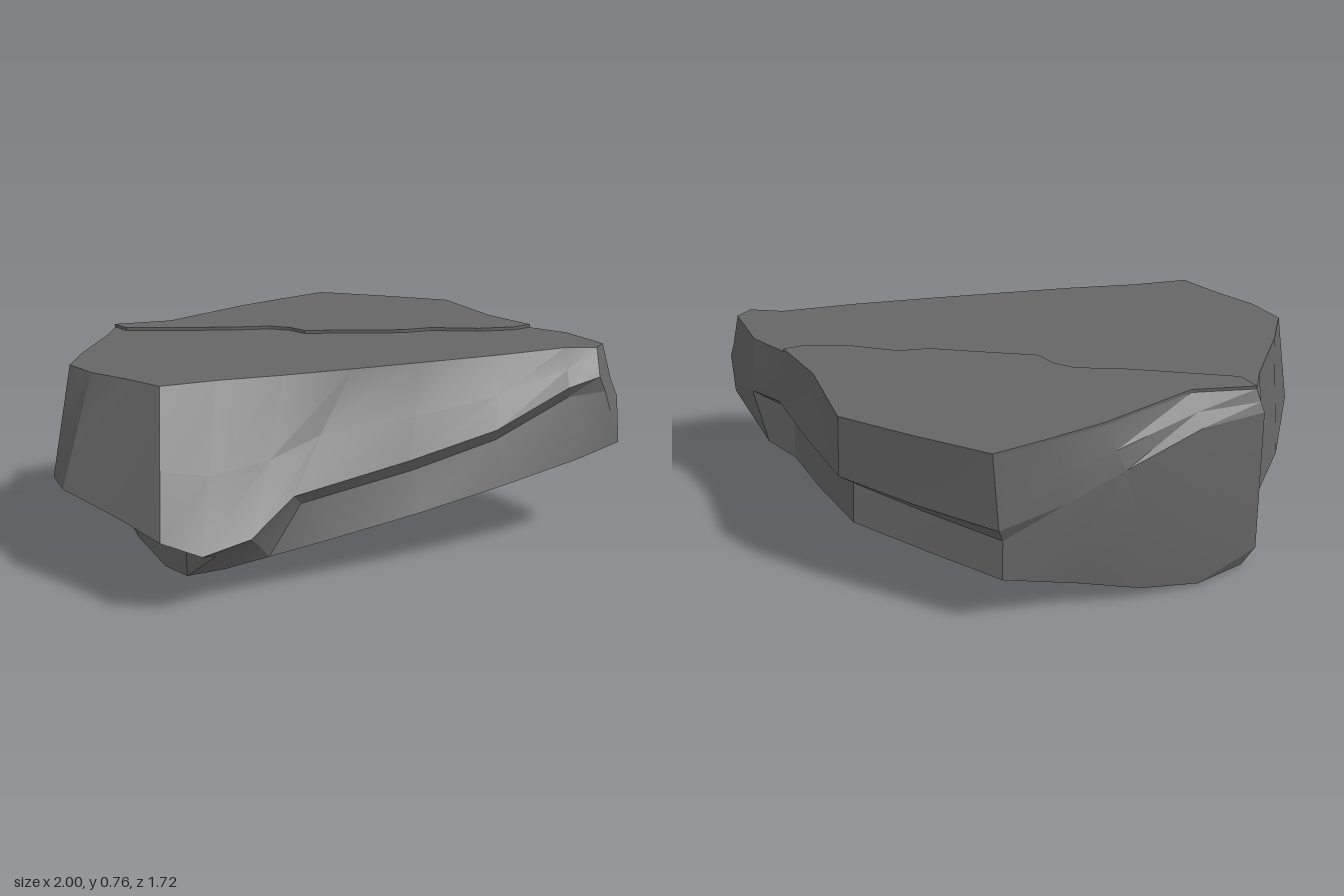
import * as THREE from 'three';
import { toCreasedNormals } from 'three/addons/utils/BufferGeometryUtils.js';

const CX = -0.1, CZ = -0.05, TOP = 0.755;

// Underside height: tilted along x, rising behind a diagonal crease
const underside = (x, z) =>
  0.16 + 0.2 * x + 0.04 * x * x + 0.42 * Math.max(0, -0.27 - 0.23 * (x + 0.82) - z);

// Each outline has 24 stations, starting at the front corner and going round by +x
const rim = [ // x, z
  [-.40, .60], [-.25, .47], [-.06, .33], [.14, .17], [.35, .00], [.58, -.19],
  [.78, -.37], [.89, -.42], [.90, -.48], [.74, -.58], [.59, -.60], [.40, -.68],
  [.17, -.85], [-.10, -.82], [-.37, -.78], [-.48, -.62], [-.59, -.45], [-.75, -.13],
  [-.93, .00], [-.90, .10], [-.86, .35], [-.82, .50], [-.70, .55], [-.55, .57],
];
const lip = [ // x, y, z of the overhanging edge
  [-.28, .30, .86], [-.15, .25, .81], [-.03, .28, .68], [.05, .38, .50], [.36, .44, .18], [.62, .52, -.03],
  [.83, .64, -.25], [.92, .66, -.36], [.94, .62, -.48], [.75, .60, -.60], [.62, .55, -.62], [.42, .53, -.73],
  [.18, .53, -.86], [-.10, .50, -.83], [-.39, .47, -.78], [-.54, .52, -.60], [-.67, .60, -.44], [-.83, .68, -.20],
  [-.97, .68, -.01], [-.93, .22, .15], [-.92, .28, .35], [-.85, .36, .61], [-.74, .37, .72], [-.48, .33, .79],
];
const neck = [ // x, y, z of the recess below the overhang
  [-.26, .21, .72], [-.15, .21, .71], [-.04, .22, .60], [.05, .33, .44], [.36, .39, .14], [.61, .47, -.07],
  [.82, .59, -.29], [.94, .60, -.38], [.97, .56, -.47], [.76, .54, -.60], [.60, .49, -.57], [.40, .48, -.68],
  [.16, .48, -.81], [-.10, .44, -.78], [-.38, .40, -.74], [-.57, .35, -.56], [-.72, .33, -.39], [-.88, .30, -.19],
  [-1.0, .12, -.02], [-.91, .12, .09], [-.80, .11, .22], [-.68, .13, .36], [-.55, .15, .49], [-.40, .18, .61],
];
const base = [ // x, z
  [-.27, .70], [-.15, .64], [-.03, .54], [.12, .42], [.40, .19], [.66, -.04],
  [.88, -.25], [1.0, -.40], [.98, -.46], [.72, -.59], [.60, -.59], [.40, -.71],
  [.15, -.84], [-.12, -.80], [-.39, -.76], [-.56, -.54], [-.72, -.37], [-.86, -.19],
  [-.95, .00], [-.88, .10], [-.78, .22], [-.66, .36], [-.53, .49], [-.40, .62],
];

// Chips: how far the wall is pushed in at a station
const chips = { 2: 0.04, 3: 0.03, 11: 0.01 };

function loft(rings) {
  const n = rings[0].length, index = [];
  for (let i = 0; i < rings.length - 1; i++) {
    for (let j = 0; j < n; j++) {
      const k = (j + 1) % n;
      const a = i * n + j, b = i * n + k, c = a + n, d = b + n;
      if (i > 0) index.push(a, c, b);
      if (i < rings.length - 2) index.push(b, c, d);
    }
  }
  const g = new THREE.BufferGeometry();
  g.setAttribute('position', new THREE.Float32BufferAttribute(rings.flat(2), 3));
  g.setIndex(index);
  return toCreasedNormals(g, 0.3);
}

export function createModel() {
  const group = new THREE.Group();
  const stone = new THREE.MeshStandardMaterial({ color: 0x666666 });
  const add = (name, geometry) => {
    const mesh = new THREE.Mesh(geometry, stone);
    mesh.name = name;
    group.add(mesh);
  };

  // Main boulder: flat top, sloping walls, ledge, undercut and tilted underside
  const top = rim.map(([x, z]) => [x, TOP, z]);
  const wall = lip.map((p, j) => {
    const q = top[j].map((v, i) => v + (p[i] - v) * 0.55);
    const r = Math.hypot(q[0] - CX, q[2] - CZ), s = 1 - (chips[j] || 0) / r;
    return [CX + (q[0] - CX) * s, q[1], CZ + (q[2] - CZ) * s];
  });
  const bottom = (s) => base.map(([x, z]) => {
    const px = CX + (x - CX) * s, pz = CZ + (z - CZ) * s;
    return [px, Math.max(0, underside(px, pz)), pz];
  });
  add('boulder', loft([
    top.map(() => [CX, TOP, CZ]), top, wall, lip, neck,
    bottom(1), bottom(0.75), bottom(0.5), bottom(0.25), bottom(0),
  ]));

  // Slightly raised rear layer of the top, broken along a ragged crack
  const crack = [[-.86, .03], [-.62, -.07], [-.48, -.13], [-.35, -.20], [-.27, -.21], [-.20, -.19],
    [.03, -.29], [.15, -.34], [.24, -.41], [.42, -.47], [.54, -.54]];
  const outline = [...crack, ...rim.slice(10, 19)].map(([x, z]) => new THREE.Vector2(x, -z));
  const layer = new THREE.ExtrudeGeometry(new THREE.Shape(outline), { depth: 0.03, bevelEnabled: false });
  layer.rotateX(-Math.PI / 2).translate(0, TOP - 0.018, 0);
  add('topLayer', layer);

  return group;
}
